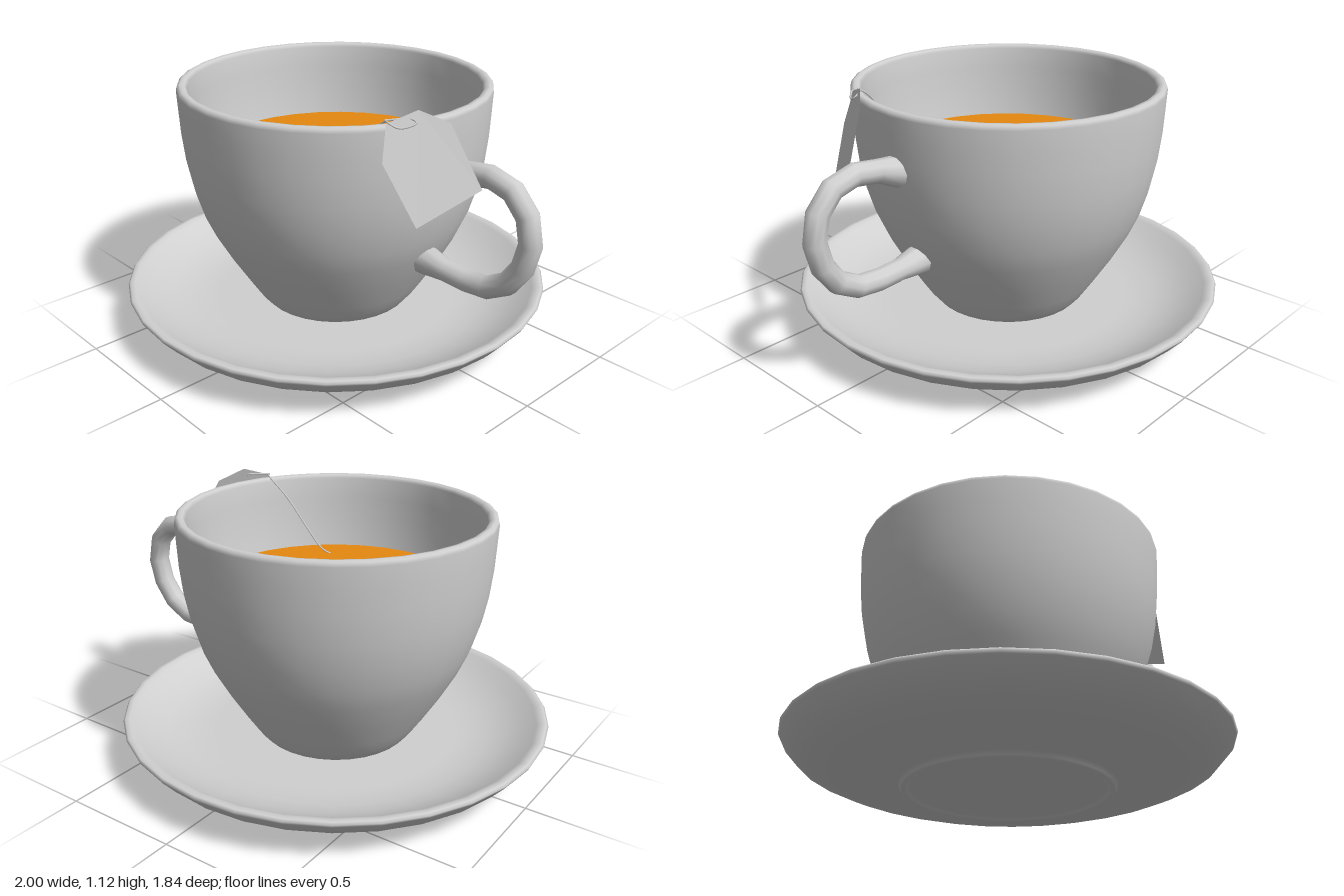
import * as THREE from 'three';

const CENTER_X = -0.08; // axis shared by cup, tea and saucer

export function createModel() {
  const group = new THREE.Group();
  const mat = (name, color) => new THREE.MeshStandardMaterial({ name, color });
  const china = mat('china', 0xd0d0d0);
  const tea = mat('tea', 0xe68810);
  const paper = mat('paper', 0xd0d0d0);
  paper.side = THREE.DoubleSide;

  const add = (name, geometry, material, x = 0, y = 0) => {
    const mesh = new THREE.Mesh(geometry, material);
    mesh.name = name;
    mesh.position.set(x, y, 0);
    group.add(mesh);
    return mesh;
  };
  const lathe = (points, sides) =>
    new THREE.LatheGeometry(points.map(([r, y]) => new THREE.Vector2(r, y)), sides);

  // Saucer: recessed base, foot ring, flared underside, rolled rim, flat floor
  add('saucer', lathe([
    [0, 0.015], [0.395, 0.015], [0.405, 0.004], [0.415, 0], [0.428, 0], [0.435, 0.006],
    [0.445, 0.022], [0.54, 0.029], [0.68, 0.048], [0.78, 0.078], [0.86, 0.113],
    [0.916, 0.176], [0.922, 0.188], [0.914, 0.197], [0.895, 0.198], [0.872, 0.188],
    [0.82, 0.152], [0.74, 0.118], [0.66, 0.097], [0.58, 0.09], [0.53, 0.089], [0, 0.089],
  ], 32), china, CENTER_X);

  // Cup: rounded base, outside wall up to the rim, then back down the inside
  add('cup', lathe([
    [0, 0.08], [0.29, 0.08], [0.325, 0.098], [0.36, 0.14], [0.4, 0.2], [0.47, 0.312],
    [0.538, 0.435], [0.58, 0.53], [0.613, 0.64], [0.635, 0.75], [0.648, 0.87],
    [0.653, 0.97], [0.657, 1.055], [0.653, 1.07], [0.641, 1.077], [0.623, 1.074],
    [0.612, 1.06], [0.607, 0.97], [0.598, 0.87], [0.584, 0.75], [0.56, 0.64],
    [0.52, 0.52], [0.41, 0.3], [0.32, 0.19], [0, 0.17],
  ], 32), china, CENTER_X);

  // Tea surface
  const surface = new THREE.CircleGeometry(0.584, 32);
  surface.rotateX(-Math.PI / 2);
  add('tea', surface, tea, CENTER_X, 0.744);

  // Handle: a coarse swept loop, flared where it meets the cup
  const loop = new THREE.CatmullRomCurve3([
    [0.548, 0.832], [0.64, 0.858], [0.775, 0.874], [0.895, 0.825], [0.953, 0.7],
    [0.928, 0.565], [0.87, 0.482], [0.77, 0.425], [0.63, 0.415], [0.45, 0.43],
  ].map(([x, y]) => new THREE.Vector3(x, y, 0)));
  const steps = 11, sides = 10;
  const handle = new THREE.TubeGeometry(loop, steps, 0.046, sides);
  const pos = handle.attributes.position;
  const v = new THREE.Vector3();
  for (const ring of [0, steps]) {
    const c = loop.getPointAt(ring / steps);
    for (let j = 0; j <= sides; j++) {
      const i = ring * (sides + 1) + j;
      v.fromBufferAttribute(pos, i).sub(c).multiplyScalar(1.4).add(c);
      pos.setXYZ(i, v.x, v.y, v.z);
    }
  }
  add('handle', handle, china);

  // Paper tag: six-cornered flat sheet with clipped top corners
  const corners = [
    [0.56, 1.125, 0.185], [0.506, 1.085, 0.295], [0.53, 0.95, 0.335],
    [0.65, 0.718, 0.277], [0.757, 0.835, 0.045], [0.638, 1.075, 0.097],
  ];
  const tag = new THREE.BufferGeometry();
  const fan = [];
  for (let i = 1; i < 5; i++) fan.push(...corners[0], ...corners[i], ...corners[i + 1]);
  tag.setAttribute('position', new THREE.Float32BufferAttribute(fan, 3));
  tag.computeVertexNormals();
  add('tag', tag, paper);

  // String: from the tea, over the rim and hooked through the tag
  const thread = new THREE.CatmullRomCurve3([
    [0.192, 0.738, 0.362], [0.23, 0.765, 0.337], [0.295, 0.86, 0.31], [0.39, 0.995, 0.285],
    [0.48, 1.083, 0.27], [0.51, 1.09, 0.292], [0.545, 1.07, 0.265], [0.575, 1.085, 0.208],
    [0.555, 1.095, 0.21], [0.49, 1.092, 0.285],
  ].map((p) => new THREE.Vector3(...p)));
  add('string', new THREE.TubeGeometry(thread, 48, 0.004, 5), paper);

  return group;
}
